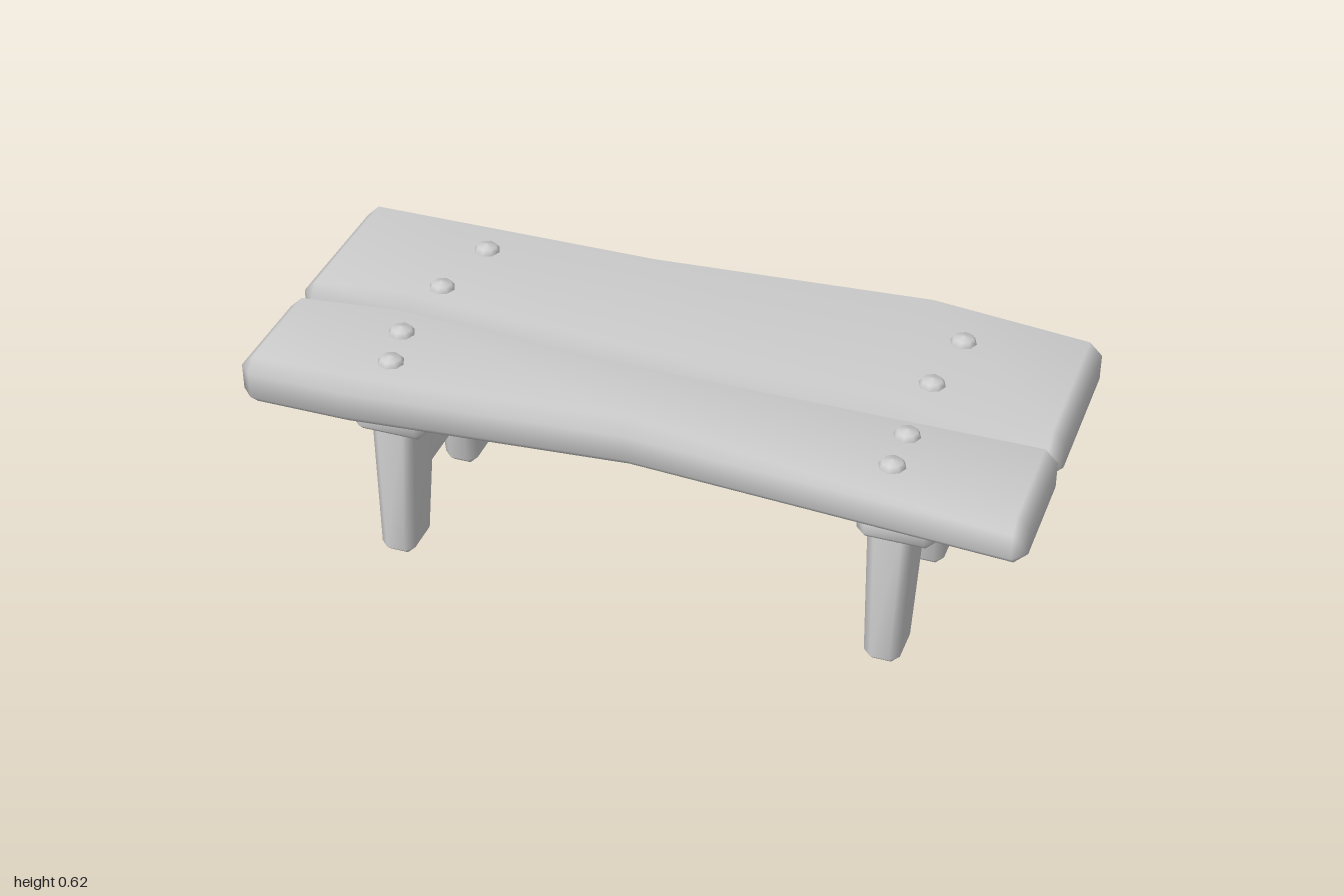
import * as THREE from 'three';
import { mergeVertices } from 'three/addons/utils/BufferGeometryUtils.js';

const material = new THREE.MeshStandardMaterial({ color: 0xcccccc });

// Cyclic axis orders: t runs along the beam, a and b span its section
const ORIENT = {
  x: (a, b, t) => [t, a, b], // a = y, b = z
  y: (a, b, t) => [b, t, a], // a = z, b = x
  z: (a, b, t) => [a, b, t], // a = x, b = y
};

// Chamfered beam lofted through stations [t, a0, a1, b0, b1]
function beam(name, axis, c, stations) {
  const last = stations.length - 1;
  const rings = [];
  stations.forEach(([t, a0, a1, b0, b1], i) => {
    const octagon = [
      [a0 + c, b0], [a1 - c, b0], [a1, b0 + c], [a1, b1 - c],
      [a1 - c, b1], [a0 + c, b1], [a0, b1 - c], [a0, b0 + c],
    ];
    const body = (s) => octagon.map(([a, b]) => ORIENT[axis](a, b, s));
    const tip = octagon.map(([a, b]) => ORIENT[axis](
      THREE.MathUtils.clamp(a, a0 + c, a1 - c),
      THREE.MathUtils.clamp(b, b0 + c, b1 - c), t));
    if (i === 0) rings.push(tip, body(t + c));
    else if (i === last) rings.push(body(t - c), tip);
    else rings.push(body(t));
  });

  const index = [];
  for (let i = 0; i < rings.length - 1; i++) {
    for (let j = 0; j < 8; j++) {
      const p = i * 8 + j, q = i * 8 + (j + 1) % 8;
      index.push(p, q, q + 8, p, q + 8, p + 8);
    }
  }
  const end = (rings.length - 1) * 8;
  for (let k = 1; k < 7; k++) index.push(0, k + 1, k, end, end + k, end + k + 1);

  let geometry = new THREE.BufferGeometry();
  geometry.setAttribute('position', new THREE.Float32BufferAttribute(rings.flat(2), 3));
  geometry.setIndex(index);
  geometry = mergeVertices(geometry);
  geometry.computeVertexNormals();
  const mesh = new THREE.Mesh(geometry, material);
  mesh.name = name;
  return mesh;
}

export function createModel() {
  const model = new THREE.Group();
  model.name = 'bench';

  // Two uneven seat planks: [x, back edge z, front edge z]
  const plank = (name, edges) => beam(name, 'x', 0.033,
    edges.map(([x, z0, z1]) => [x, 0.46, 0.595, z0, z1]));
  model.add(plank('frontPlank', [
    [-1, 0.09, 0.433], [-0.72, 0.06, 0.433], [0, 0.094, 0.37], [1, 0.094, 0.433],
  ]));
  model.add(plank('backPlank', [
    [-1, -0.382, 0.075], [-0.73, -0.382, 0.045], [-0.18, -0.382, 0.08],
    [0.55, -0.437, 0.08], [1, -0.382, 0.08],
  ]));

  // Trestle at each end: cleat, two splayed legs and a stretcher
  for (const [side, x, cleatX] of [['right', -0.65, -0.635], ['left', 0.645, 0.67]]) {
    const trestle = new THREE.Group();
    trestle.name = side + 'Trestle';
    trestle.add(beam('cleat', 'z', 0.022, [
      [-0.34, cleatX - 0.096, cleatX + 0.096, 0.398, 0.487],
      [0.363, cleatX - 0.096, cleatX + 0.096, 0.398, 0.487],
    ]));
    const leg = (name, foot, top) => beam(name, 'y', 0.022, [
      [0, ...foot, x - 0.046, x + 0.046],
      [0.45, ...top, x - 0.058, x + 0.058],
    ]);
    trestle.add(leg('frontLeg', [0.195, 0.331], [0.138, 0.313]));
    trestle.add(leg('backLeg', [-0.22, -0.083], [-0.2, -0.026]));
    trestle.add(beam('stretcher', 'z', 0.01, [
      [-0.12, x - 0.027, x + 0.027, 0.17, 0.278],
      [0.22, x - 0.027, x + 0.027, 0.17, 0.278],
    ]));
    model.add(trestle);
  }

  // Domed peg heads on the seat: [x, z]
  const pegGeometry = new THREE.LatheGeometry(
    [[0.034, -0.015], [0.034, 0.002], [0.026, 0.014], [0, 0.021]]
      .map(([r, y]) => new THREE.Vector2(r, y)), 8);
  const pegs = [
    [-0.61, -0.245], [-0.65, -0.042], [-0.663, 0.182], [-0.635, 0.31],
    [0.67, -0.245], [0.645, -0.042], [0.645, 0.182], [0.645, 0.31],
  ];
  for (const [x, z] of pegs) {
    const peg = new THREE.Mesh(pegGeometry, material);
    peg.name = 'peg';
    peg.position.set(x, 0.594, z);
    model.add(peg);
  }
  return model;
}
